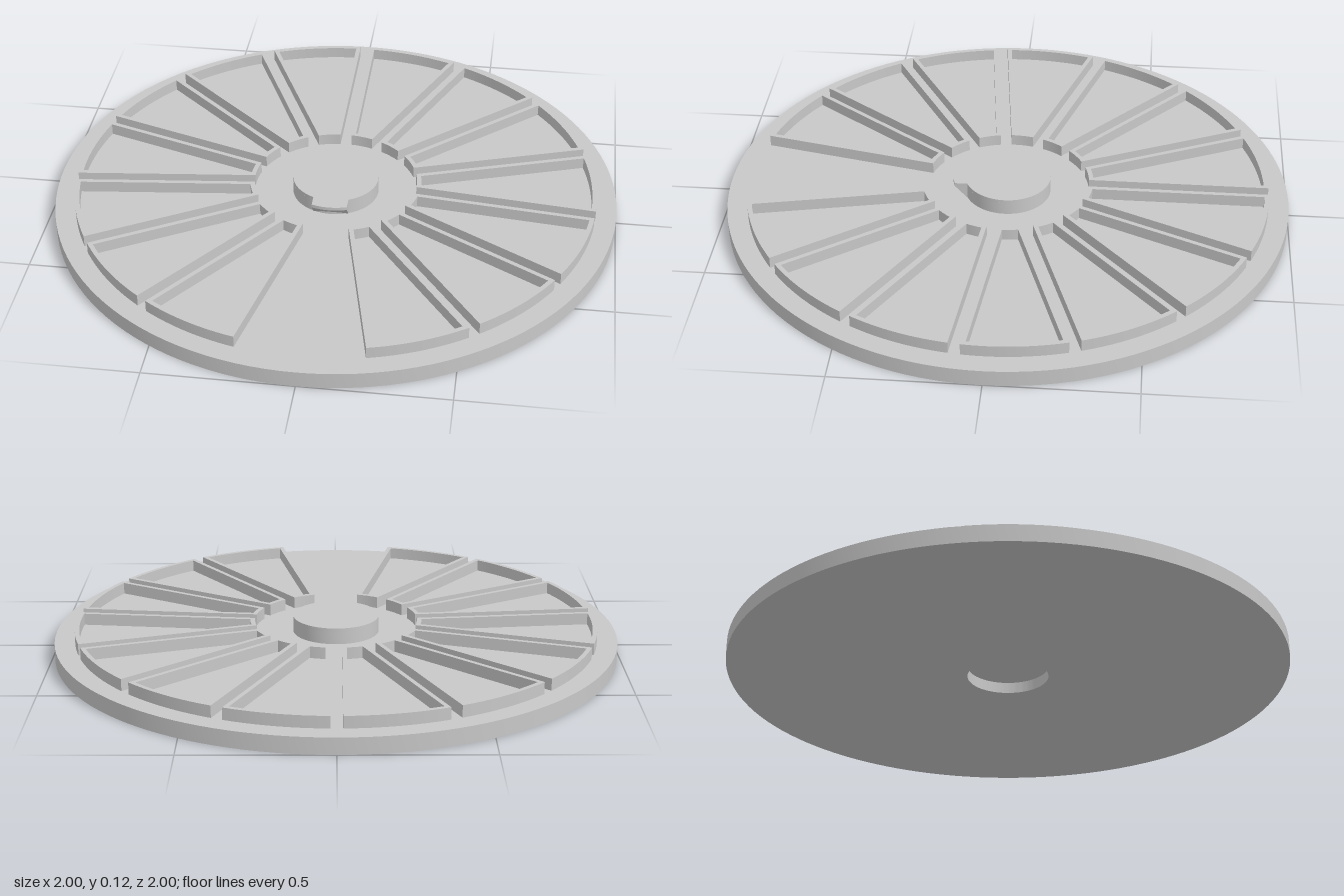
import * as THREE from 'three';
import { toCreasedNormals } from 'three/addons/utils/BufferGeometryUtils.js';

const BASE_TOP = 0.058, WALL_TOP = 0.1, LIP = 0.104, HUB_TOP = 0.116;
const OUTER = 0.928, INNER = 0.29, WALL = 0.016, GAP = 0.02;
const PITCH = Math.PI * 2 / 15;

const gray = new THREE.MeshStandardMaterial({ color: 0xc8c8c8 });
gray.name = 'plain gray';

// Point at radius r and angle a, clockwise from the back of the disc
const polar = (r, a) => new THREE.Vector2(r * Math.sin(a), r * Math.cos(a));

function arc(r, from, to, steps) {
  return Array.from({ length: steps + 1 }, (_, i) => polar(r, from + (to - from) * i / steps));
}

// Outline of a sector whose straight sides run parallel to the dividing spokes
function sectorOutline(a0, a1, inset) {
  const d = GAP + inset, ri = INNER + inset, ro = OUTER - inset;
  const si = Math.asin(d / ri), so = Math.asin(d / ro);
  return [...arc(ro, a0 + so, a1 - so, 16), ...arc(ri, a1 - si, a0 + si, 6)];
}

// Upright extrusion of a flat shape from y0 to y1
function raise(shape, y0, y1) {
  const g = new THREE.ExtrudeGeometry(shape, { depth: y1 - y0, bevelEnabled: false });
  g.rotateX(-Math.PI / 2).translate(0, y0, 0);
  return toCreasedNormals(g, 0.5);
}

function part(name, geometry) {
  const mesh = new THREE.Mesh(geometry, gray);
  mesh.name = name;
  return mesh;
}

export function createModel() {
  const model = new THREE.Group();
  model.name = 'sectorTray';

  // Base disc with a blind round recess underneath
  const profile = [[0, 0.04], [0.145, 0.04], [0.145, 0], [1, 0], [1, BASE_TOP], [0, BASE_TOP]]
    .map(([x, y]) => new THREE.Vector2(x, y));
  model.add(part('baseDisc', toCreasedNormals(new THREE.LatheGeometry(profile, 128), 0.5)));

  // Fourteen walled compartments; the fifteenth place, at the front, stays empty
  const compartments = new THREE.Group();
  compartments.name = 'compartments';
  for (let i = -7; i < 7; i++) {
    const a0 = i * PITCH, a1 = a0 + PITCH;
    const shape = new THREE.Shape(sectorOutline(a0, a1, 0));
    // The hole runs the other way round, so the inner wall faces point inward
    shape.holes.push(new THREE.Path(sectorOutline(a0, a1, WALL).reverse()));
    compartments.add(part('compartmentWall', raise(shape, BASE_TOP - 0.002, WALL_TOP)));
  }
  model.add(compartments);

  // Round hub, topped by a thin plate with a key tab pointing to the front
  const R = 0.153, TAB = 0.195, HALF = 0.062;
  const hubAngle = Math.asin(HALF / R), tabAngle = Math.asin(HALF / TAB);
  const tabEnd = arc(TAB, Math.PI - tabAngle, Math.PI + tabAngle, 8);
  const body = new THREE.Shape(arc(R, 0, Math.PI * 2 * 63 / 64, 63));
  const plate = new THREE.Shape([...arc(R, -Math.PI + hubAngle, Math.PI - hubAngle, 56), ...tabEnd]);
  model.add(part('hubBody', raise(body, BASE_TOP - 0.002, LIP)));
  model.add(part('keyedHubPlate', raise(plate, LIP, HUB_TOP)));

  // Tab support, its underside sloping back to the foot of the hub
  const wedge = raise(new THREE.Shape([
    new THREE.Vector2(HALF, -0.1), ...tabEnd, new THREE.Vector2(-HALF, -0.1),
  ]), BASE_TOP, LIP);
  const pos = wedge.attributes.position;
  for (let i = 0; i < pos.count; i++) {
    if (pos.getY(i) < LIP - 0.01) pos.setZ(i, Math.min(pos.getZ(i), 0.142));
  }
  model.add(part('keySupport', toCreasedNormals(wedge, 0.5)));

  return model;
}
